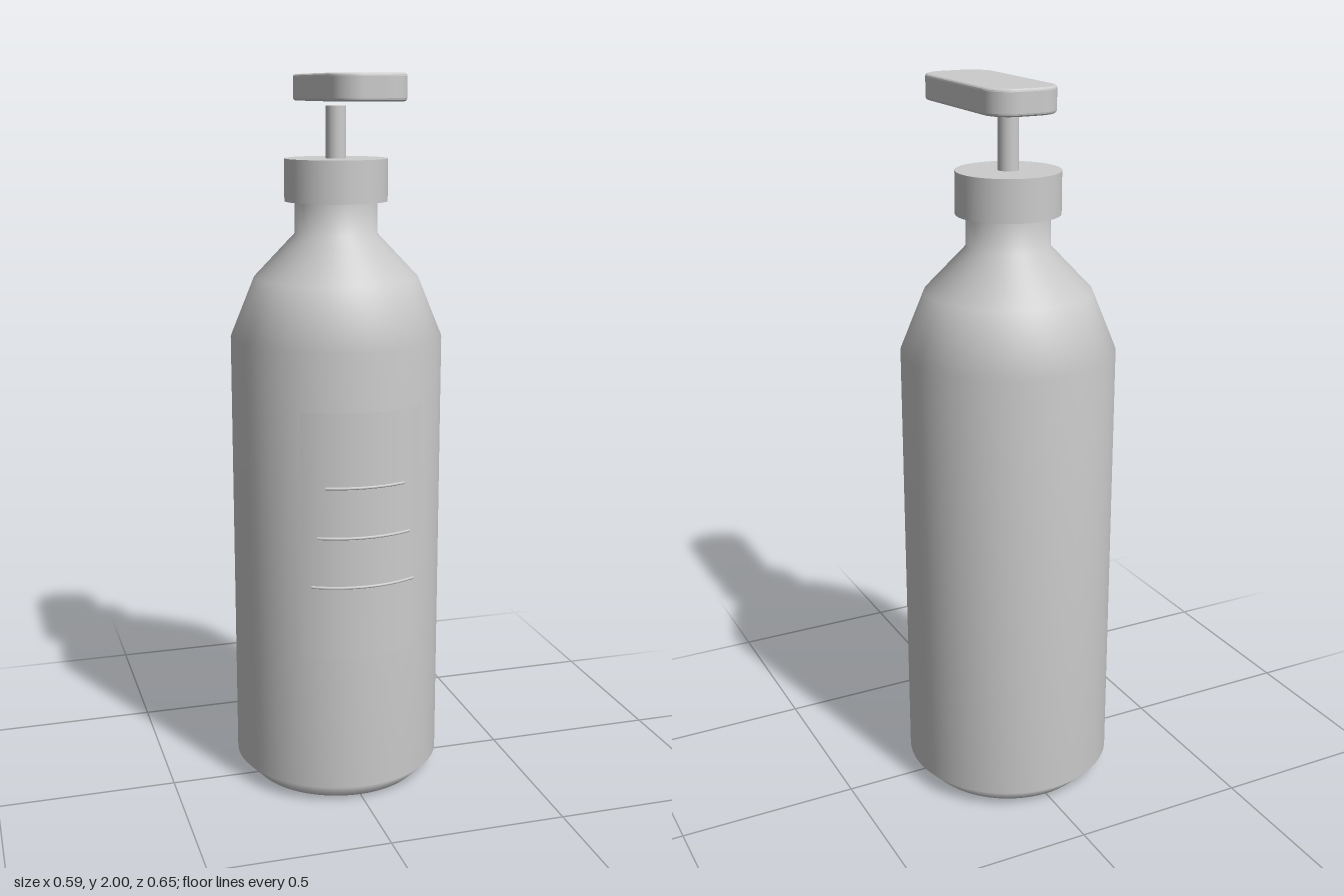
import * as THREE from 'three';

const AXIS_Z = -0.03; // bottle axis
const RADIUS = 0.295;

export function createModel() {
  const model = new THREE.Group();
  const material = new THREE.MeshStandardMaterial({ color: 0xcccccc });
  const thin = new THREE.MeshStandardMaterial({ color: 0xcccccc, side: THREE.DoubleSide });

  const add = (name, geometry, y = 0, mat = material) => {
    const mesh = new THREE.Mesh(geometry, mat);
    mesh.name = name;
    mesh.position.set(0, y, AXIS_Z);
    model.add(mesh);
    return mesh;
  };

  // Bottle: chamfered foot, straight wall, two-step shoulder and neck
  const profile = [
    [0.247, 0], [RADIUS, 0.05], [RADIUS, 1.29], [0.228, 1.455], [0.114, 1.575], [0.114, 1.68],
  ].map(([r, y]) => new THREE.Vector2(r, y));
  add('bottle', new THREE.LatheGeometry(profile, 64));
  add('bottleBase', new THREE.CircleGeometry(0.247, 64).rotateX(Math.PI / 2));

  // Pump collar and stem
  add('collar', new THREE.CylinderGeometry(0.142, 0.142, 0.115, 64), 1.72);
  add('stem', new THREE.CylinderGeometry(0.028, 0.028, 0.15, 32), 1.842);

  // Pump head: rounded slab reaching forward over the front
  const bevel = 0.008;
  const w = 0.103 - bevel, back = -0.16 + bevel, front = 0.325 - bevel, r = 0.067;
  const slab = new THREE.Shape();
  slab.absarc(w - r, front - r, r, 0, Math.PI / 2);
  slab.absarc(-w + r, front - r, r, Math.PI / 2, Math.PI);
  slab.absarc(-w + r, back + r, r, Math.PI, Math.PI * 1.5);
  slab.absarc(w - r, back + r, r, Math.PI * 1.5, Math.PI * 2);
  const headGeometry = new THREE.ExtrudeGeometry(slab, {
    depth: 0.07 - 2 * bevel, bevelSize: bevel, bevelThickness: bevel, bevelSegments: 3, curveSegments: 10,
  }).rotateX(Math.PI / 2);
  add('pumpHead', headGeometry, 2 - bevel).position.z = 0;

  // Curved label on the front
  const labelRadius = RADIUS + 0.003;
  const half = Math.asin(0.17 / labelRadius);
  add('label', new THREE.CylinderGeometry(labelRadius, labelRadius, 0.69, 24, 1, true, -half, 2 * half), 0.785, thin);

  // Raised lines across the label
  for (const [y, halfWidth] of [[0.925, 0.11], [0.785, 0.13], [0.645, 0.145]]) {
    const a = Math.asin(halfWidth / labelRadius);
    const line = new THREE.TorusGeometry(labelRadius, 0.004, 8, 24, 2 * a)
      .rotateZ(Math.PI / 2 - a)
      .rotateX(Math.PI / 2);
    add('labelLine', line, y, thin);
  }

  return model;
}
